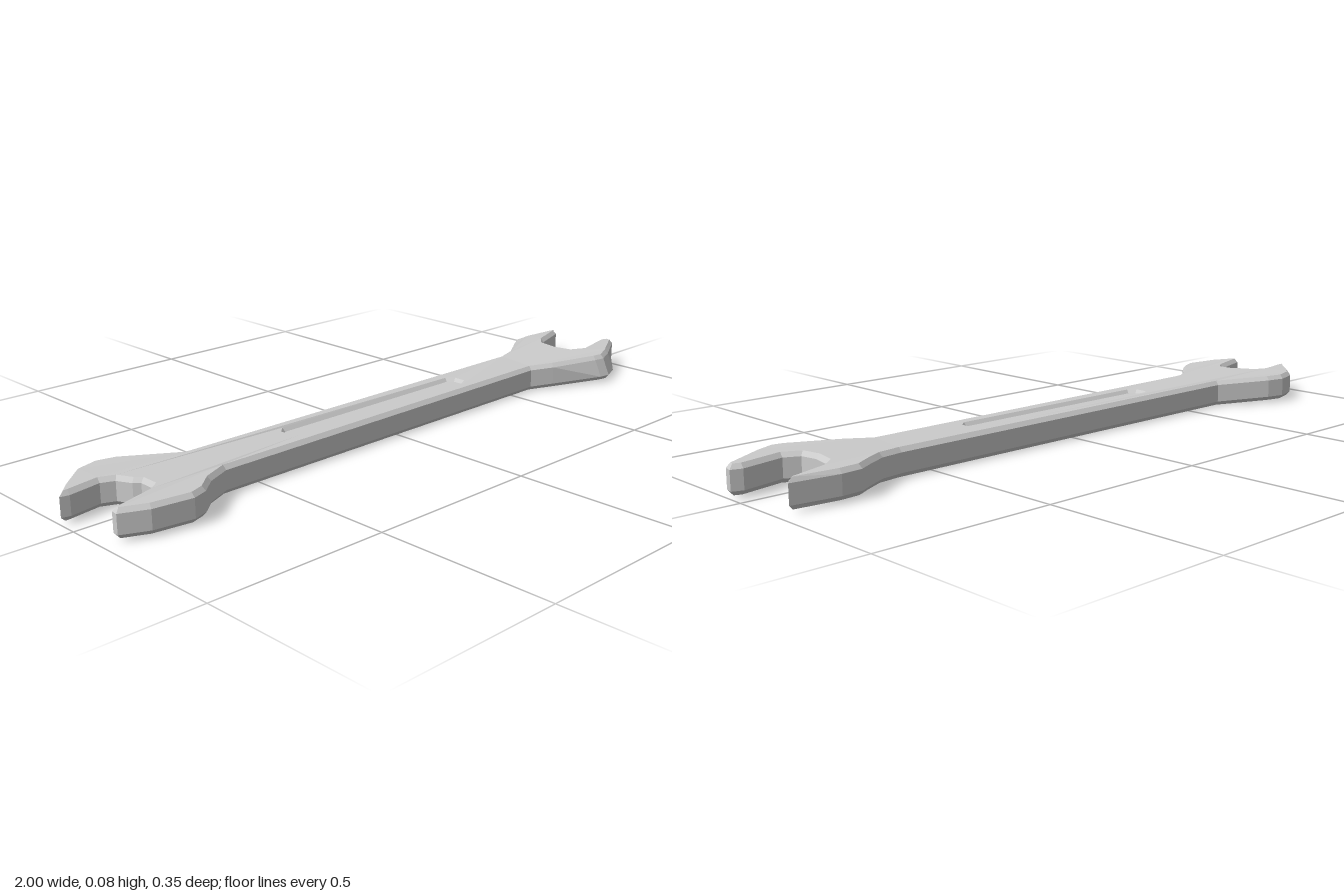
import * as THREE from 'three';

const HEIGHT = 0.076, BEVEL = 0.012, LIFT = 0.007;
const toPoints = (list) => list.map(([x, z]) => new THREE.Vector2(x, z));

// Each jaw outline runs between the two edges of the handle, as [x, z]
const leftJaw = [
  [-0.61, 0.072], [-0.685, 0.11], [-0.735, 0.155], [-0.78, 0.172], [-0.89, 0.157],
  [-0.962, 0.125], [-0.96, 0.105], [-0.84, 0.07], [-0.815, 0.052], [-0.815, 0.01],
  [-0.83, -0.005], [-0.85, -0.045], [-0.885, -0.06], [-0.975, -0.045], [-1, -0.05],
  [-0.945, -0.11], [-0.89, -0.16], [-0.825, -0.178], [-0.77, -0.165], [-0.62, -0.085],
];
const rightJaw = [
  [0.6, -0.083], [0.67, -0.1], [0.73, -0.135], [0.775, -0.163], [0.835, -0.168],
  [0.967, -0.152], [0.955, -0.135], [0.845, -0.1], [0.81, -0.07], [0.8, -0.013],
  [0.81, 0.035], [0.85, 0.055], [0.97, 0.03], [1, 0.04], [0.995, 0.065],
  [0.89, 0.147], [0.835, 0.17], [0.8, 0.165], [0.647, 0.095], [0.58, 0.062],
];
const groove = [
  [-0.34, 0.005], [-0.325, 0.018], [0.305, 0.018], [0.32, 0.005],
  [0.32, -0.022], [0.305, -0.036], [-0.325, -0.036], [-0.34, -0.022],
];

export function createModel() {
  const group = new THREE.Group();
  group.name = 'openEndWrench';
  const material = new THREE.MeshStandardMaterial({ color: 0xcccccc, flatShading: true });

  // Chamfered body with an opening for the grooves
  const outline = new THREE.Shape(toPoints([...leftJaw, ...rightJaw]));
  outline.holes.push(new THREE.Path(toPoints(groove)));
  const bodyGeometry = new THREE.ExtrudeGeometry(outline, {
    depth: HEIGHT - 2 * BEVEL, bevelEnabled: true, bevelSegments: 1,
    bevelSize: 0.01, bevelOffset: -0.01, bevelThickness: BEVEL,
  });
  bodyGeometry.rotateX(Math.PI / 2).translate(0, HEIGHT - BEVEL, 0);

  // Jaws sit slightly higher than the handle; one prong leans inward at its top
  const p = bodyGeometry.attributes.position;
  for (let i = 0; i < p.count; i++) {
    const x = p.getX(i), y = p.getY(i), z = p.getZ(i);
    if (x > 0.79 && z > 0.12 && y > HEIGHT / 2) p.setXYZ(i, x - 0.008, y, z - 0.018);
    p.setY(i, y + LIFT * THREE.MathUtils.smoothstep(Math.abs(x), 0.55, 0.78));
  }
  bodyGeometry.computeVertexNormals();
  const body = new THREE.Mesh(bodyGeometry, material);
  body.name = 'body';

  // Thin web forms the floor of the groove on both faces
  const web = new THREE.Mesh(new THREE.BoxGeometry(0.67, HEIGHT - 0.02, 0.062), material);
  web.name = 'grooveFloor';
  web.position.set(-0.01, HEIGHT / 2, -0.009);

  group.add(body, web);
  return group;
}
